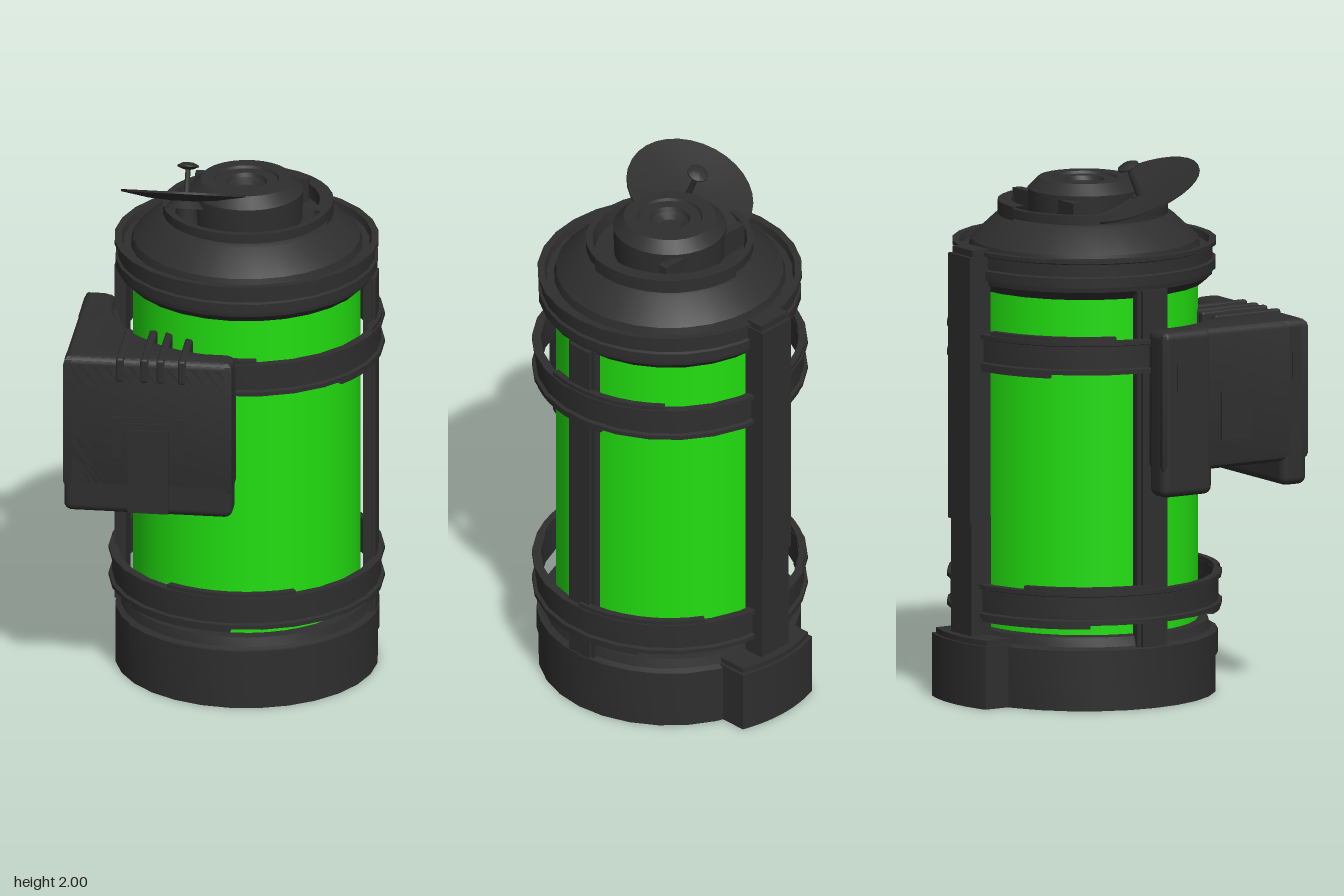
import * as THREE from 'three';
import { toCreasedNormals } from 'three/addons/utils/BufferGeometryUtils.js';
import { RoundedBoxGeometry } from 'three/addons/geometries/RoundedBoxGeometry.js';

const CX = 0.045, CZ = -0.012; // axis of the canister

export function createModel() {
  const model = new THREE.Group();
  model.name = 'canister';
  const dark = new THREE.MeshStandardMaterial({ color: 0x2e2e2e, side: THREE.DoubleSide });
  dark.name = 'charcoal';
  const green = new THREE.MeshStandardMaterial({ color: 0x22de10 });
  green.name = 'green';

  const body = new THREE.Group();
  body.name = 'body';
  body.position.set(CX, 0, CZ);
  model.add(body);

  const add = (parent, name, geo, x = 0, y = 0, z = 0, mat = dark) => {
    const m = new THREE.Mesh(geo, mat);
    m.name = name;
    m.position.set(x, y, z);
    parent.add(m);
    return m;
  };
  const lathe = (pts, sides = 28, start = 0, length = Math.PI * 2) =>
    toCreasedNormals(new THREE.LatheGeometry(
      pts.map(([r, y]) => new THREE.Vector2(r, y)), sides, start, length), 0.4);
  // closed rectangular band around the axis
  const band = (r0, r1, y0, y1, sides, start, length) =>
    lathe([[r0, y0], [r1, y0], [r1, y1], [r0, y1], [r0, y0]], sides, start, length);
  // box given by its limits
  const box = (parent, name, x0, x1, y0, y1, z0, z1, round = 0) => add(parent, name,
    round ? new RoundedBoxGeometry(x1 - x0, y1 - y0, z1 - z0, 3, round)
      : new THREE.BoxGeometry(x1 - x0, y1 - y0, z1 - z0),
    (x0 + x1) / 2, (y0 + y1) / 2, (z0 + z1) / 2);
  // plan shape (x, -z) raised along y
  const raise = (shape, y, depth, bevel) => toCreasedNormals(new THREE.ExtrudeGeometry(shape, {
    depth, bevelEnabled: bevel > 0, bevelSize: bevel, bevelThickness: bevel,
    bevelSegments: 3, curveSegments: 20,
  }).rotateX(-Math.PI / 2).translate(0, y, 0), 0.5);

  // Glowing tank
  add(body, 'tank', new THREE.CylinderGeometry(0.418, 0.418, 1.32, 40, 1, true), 0, 0.9, 0, green);

  // Base, hollow underneath
  add(body, 'base', lathe([
    [0, 0.13], [0.16, 0.13], [0.16, 0.15], [0.32, 0.15], [0.34, 0.12], [0.45, 0.1], [0.46, 0],
    [0.485, 0], [0.485, 0.225], [0.465, 0.235], [0.455, 0.27], [0.40, 0.275],
  ]));
  add(body, 'basePanel', band(0.47, 0.491, 0.14, 0.228, 14, -0.95, 2.75));
  const heel = new THREE.Shape();
  heel.moveTo(-0.185, 0.4);
  heel.lineTo(0.185, 0.4);
  heel.lineTo(0.185, 0.547);
  heel.quadraticCurveTo(0, 0.61, -0.185, 0.547);
  add(body, 'baseHeel', raise(heel, 0, 0.235, 0));
  const heelTop = add(body, 'baseHeelTop', raise(heel, 0, 0.02, 0), 0, 0.235, 0);
  heelTop.scale.set(0.94, 1, 0.98);

  // Upper collar and cone, with a sunken top
  add(body, 'collar', lathe([
    [0.40, 1.52], [0.44, 1.53], [0.472, 1.56], [0.475, 1.58], [0.485, 1.58], [0.485, 1.615],
    [0.475, 1.62], [0.475, 1.665], [0.488, 1.67], [0.488, 1.685], [0.462, 1.685], [0.455, 1.66], [0.42, 1.66],
  ]));
  add(body, 'cone', lathe([
    [0.43, 1.65], [0.42, 1.69], [0.33, 1.775], [0.31, 1.785], [0.31, 1.82],
    [0.285, 1.82], [0.275, 1.77], [0.18, 1.76],
  ]));
  add(body, 'coneRimTab', band(0.27, 0.32, 1.78, 1.832, 10, 1.3, 1.9));
  add(body, 'hub', lathe([
    [0.205, 1.74], [0.21, 1.875], [0.2, 1.885], [0.17, 1.915], [0.12, 1.915], [0.115, 1.905],
    [0.075, 1.905], [0.068, 1.89], [0.04, 1.872], [0, 1.868],
  ]));
  box(body, 'hubWing', -0.21, 0.21, 1.76, 1.86, -0.18, -0.145);

  // Side struts and back spine
  for (const s of [-1, 1]) {
    box(body, 'sideStrut', s * 0.4625 - 0.0225, s * 0.4625 + 0.0225, 0.23, 1.56, -0.05, 0.05);
    box(body, 'sideStrutFlange', s * 0.455 - 0.015, s * 0.455 + 0.015, 0.23, 1.56, -0.065, 0.065);
  }
  box(body, 'spineLower', -0.07, 0.07, 0.24, 0.7, -0.535, -0.45);
  box(body, 'spineUpper', -0.075, 0.075, 0.68, 1.67, -0.545, -0.455);
  box(body, 'spineCap', -0.07, 0.07, 1.66, 1.695, -0.53, -0.46);

  // Guard rings with stepped tabs above and below
  for (const [y, turn] of [[1.32, 0], [0.385, 0.3]]) {
    const ring = new THREE.Group();
    ring.name = 'guardRing';
    ring.position.y = y;
    body.add(ring);
    add(ring, 'ringBand', lathe([
      [0.475, -0.062], [0.508, -0.062], [0.508, -0.046], [0.495, -0.042], [0.495, 0.042],
      [0.508, 0.046], [0.508, 0.062], [0.475, 0.062], [0.475, -0.062],
    ], 26));
    for (let i = 0; i < 3; i++) {
      const a = turn + i * Math.PI * 2 / 3;
      add(ring, 'upperTab', band(0.475, 0.5, 0.05, 0.077, 8, a - 0.8, 1.0));
      add(ring, 'lowerTab', band(0.475, 0.5, -0.077, -0.05, 8, a + 0.9, 0.9));
    }
  }

  // Equipment case wrapped round the front corner
  const pack = new THREE.Group();
  pack.name = 'sideCase';
  model.add(pack);
  const plan = new THREE.Shape();
  plan.moveTo(-0.53, 0.02);
  plan.lineTo(-0.53, -0.55);
  plan.lineTo(0.035, -0.55);
  plan.lineTo(0.035, -0.508);
  plan.absarc(CX, -CZ, 0.52, -1.59, -Math.PI, true);
  add(pack, 'caseCore', raise(plan, 0.92, 0.47, 0.03));
  box(pack, 'caseFront', -0.56, 0.065, 0.8, 1.42, 0.47, 0.58, 0.03);
  box(pack, 'caseSideLeg', -0.56, -0.455, 0.8, 1.42, -0.05, 0.17, 0.03);
  box(pack, 'casePanel', -0.32, -0.17, 0.81, 1.14, 0.57, 0.586);
  for (const y of [1.155, 1.18]) box(pack, 'panelTrim', -0.33, -0.16, y, y + 0.012, 0.57, 0.585);
  for (const x of [-0.375, -0.145]) box(pack, 'caseHandle', x, x + 0.03, 1.03, 1.19, 0.57, 0.592);
  for (const x of [-0.365, -0.275, -0.215, -0.135]) {
    box(pack, 'topRib', x, x + 0.03, 1.33, 1.425, 0.3, 0.586, 0.01);
  }
  box(pack, 'sidePanel', -0.567, -0.55, 1.0, 1.18, 0.2, 0.33);
  for (const z of [0.01, 0.51]) box(pack, 'sideLatch', -0.566, -0.55, 1.2, 1.3, z, z + 0.02);

  // Tilted dish antenna
  const dish = new THREE.Group();
  dish.name = 'dishAntenna';
  dish.position.set(-0.165, 1.875, 0.09);
  dish.rotation.x = -0.41;
  model.add(dish);
  add(dish, 'dish', lathe([[0, -0.022], [0.14, -0.012], [0.243, 0.006], [0.243, 0.014], [0.14, 0], [0, -0.01]], 32));
  add(dish, 'feedStem', new THREE.CylinderGeometry(0.009, 0.012, 0.12, 10), 0, 0.05, 0);
  add(dish, 'feedKnob', lathe([[0, 0.095], [0.02, 0.1], [0.04, 0.108], [0.04, 0.114], [0.02, 0.124], [0, 0.126]], 16));
  add(dish, 'dishBoss', new THREE.CylinderGeometry(0.05, 0.08, 0.035, 20), 0, -0.03, 0);
  add(model, 'dishPost', new THREE.CylinderGeometry(0.035, 0.05, 0.12, 14), -0.165, 1.8, 0.1);
  return model;
}
